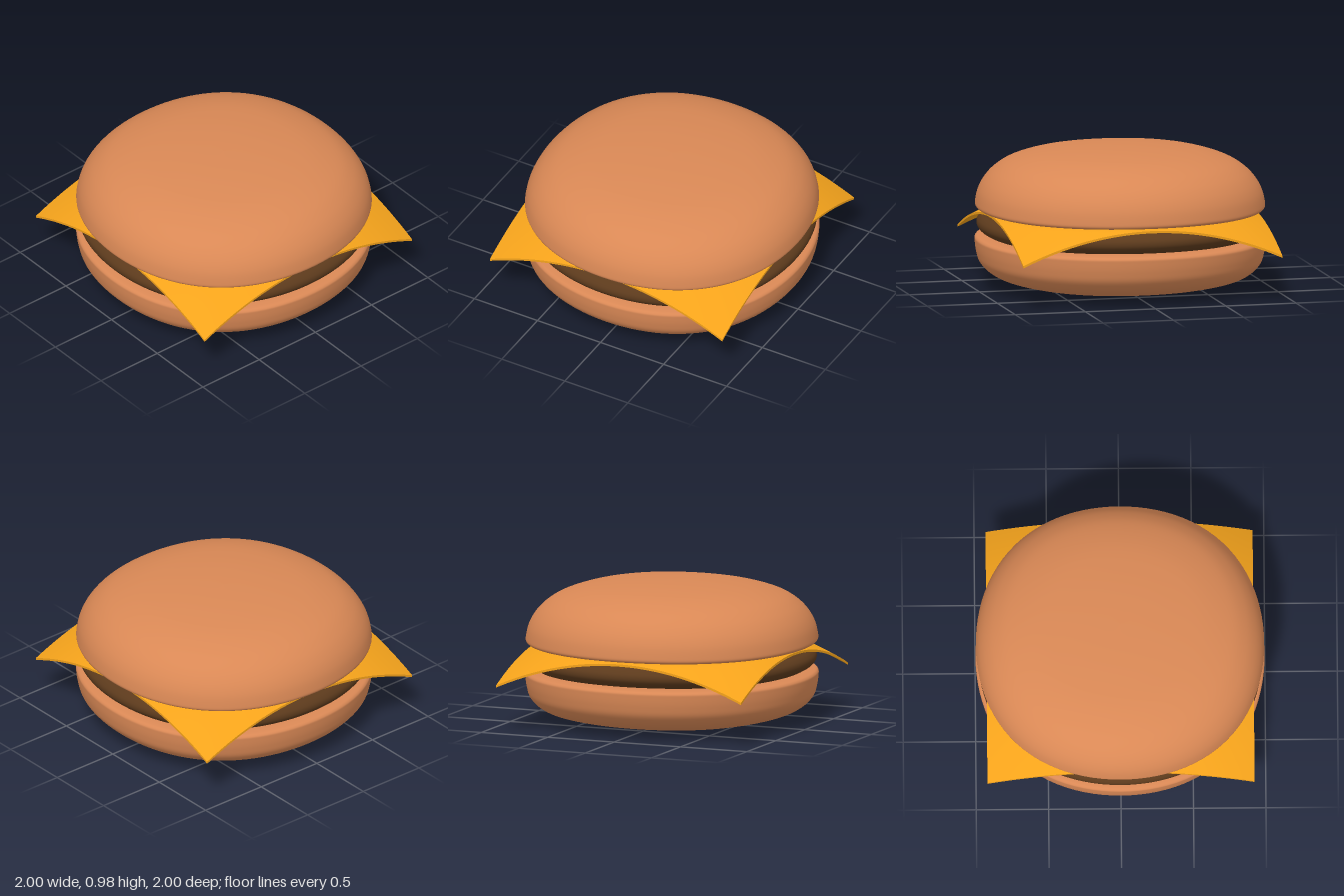
import * as THREE from 'three';

const material = (color) => new THREE.MeshStandardMaterial({ color });

// Smooth revolved layer from a bottom-to-top profile, very slightly squared in plan
function roundLayer(name, profile, mat, squareness = 0.026) {
  const curve = new THREE.SplineCurve(profile.map(([r, y]) => new THREE.Vector2(r, y)));
  const points = curve.getPoints(64);
  points.forEach((p) => { p.x = Math.max(0, p.x); });
  const geometry = new THREE.LatheGeometry(points, 96);
  const pos = geometry.attributes.position;
  for (let i = 0; i < pos.count; i++) {
    const x = pos.getX(i), z = pos.getZ(i);
    const k = 1 + squareness * Math.sin(2 * Math.atan2(z, x)) ** 2;
    pos.setX(i, x * k);
    pos.setZ(i, z * k);
  }
  const mesh = new THREE.Mesh(geometry, mat);
  mesh.name = name;
  return mesh;
}

// Thin square slice whose overhanging corners sag
function cheeseSlice(mat) {
  const size = 1.844, thickness = 0.016;
  const geometry = new THREE.BoxGeometry(size, thickness, size, 48, 1, 48);
  const pos = geometry.attributes.position;
  for (let i = 0; i < pos.count; i++) {
    const r2 = pos.getX(i) ** 2 + pos.getZ(i) ** 2;
    pos.setY(i, pos.getY(i) + 0.534 - 0.245 * Math.max(0, r2 - 0.82));
  }
  geometry.computeVertexNormals();
  const mesh = new THREE.Mesh(geometry, mat);
  mesh.name = 'cheeseSlice';
  return mesh;
}

export function createModel() {
  const group = new THREE.Group();
  group.name = 'cheeseburger';
  const bun = material(0xd98855);

  // Bottom bun: rounded base, nearly flat top
  group.add(roundLayer('bottomBun', [
    [0, 0.003], [0.3, 0.009], [0.6, 0.033], [0.8, 0.073], [0.9, 0.115], [0.965, 0.18],
    [0.988, 0.25], [0.997, 0.32], [0.994, 0.35], [0.96, 0.365], [0.85, 0.37], [0.4, 0.37], [0, 0.37],
  ], bun));

  // Meat patty with a rounded rim
  group.add(roundLayer('patty', [
    [0, 0.37], [0.5, 0.37], [0.86, 0.372], [0.94, 0.39], [0.975, 0.42], [0.985, 0.45],
    [0.975, 0.48], [0.94, 0.507], [0.86, 0.524], [0.5, 0.525], [0, 0.525],
  ], material(0x5c3a1c)));

  group.add(cheeseSlice(material(0xf5a31b)));

  // Top bun: domed crown with a tight lower rim
  group.add(roundLayer('topBun', [
    [0, 0.548], [0.4, 0.548], [0.85, 0.549], [0.96, 0.556], [0.992, 0.57], [0.993, 0.605],
    [0.975, 0.68], [0.935, 0.755], [0.87, 0.825], [0.77, 0.887], [0.6, 0.94],
    [0.4, 0.968], [0.2, 0.982], [0, 0.986],
  ], bun));

  return group;
}
